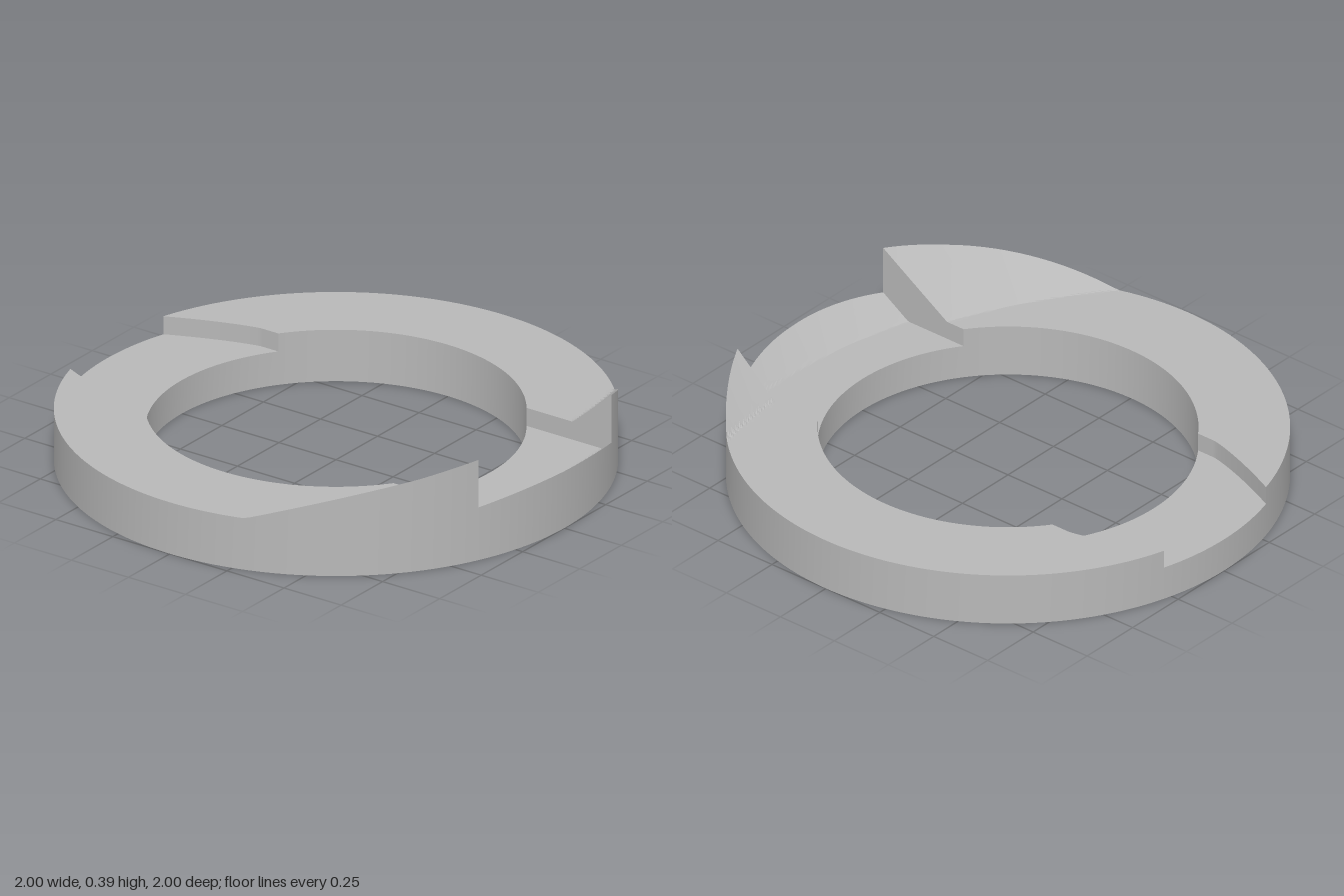
import * as THREE from 'three';
import { toCreasedNormals } from 'three/addons/utils/BufferGeometryUtils.js';

const R_IN = 0.675, R_OUT = 1, TOP = 0.2, FLOOR = 0.13, STEP = 0.185;

// Shallow conical ramp that rises towards +x
function ramp(x, z) {
  const d = Math.hypot(x + 1.216, z + 0.3) - 1.965;
  const slope = z < 0 ? 0.76 - 0.3 * z : Math.max(0.64, 0.76 - 0.2 * z);
  return TOP + slope * d;
}
const topHeight = (x, z) => Math.max(TOP, ramp(x, z));
const floorHeight = (x, z) => Math.max(FLOOR, ramp(x, z) - STEP);

// Half angles of the two notches at radius r
const wideNotch = (r) => Math.asin(0.4 / r);
function taperedNotch(r) {
  const t = Math.max(0, (r - 0.738) / (R_OUT - 0.738));
  return Math.asin((0.4 - 0.12 * Math.pow(t, 1.2)) / r);
}

// Surface patch from fn(u, v); it faces along du x dv
function patch(fn, nu, nv) {
  const pos = [], index = [];
  for (let i = 0; i <= nu; i++)
    for (let j = 0; j <= nv; j++) pos.push(...fn(i / nu, j / nv));
  for (let i = 0; i < nu; i++)
    for (let j = 0; j < nv; j++) {
      const a = i * (nv + 1) + j, b = a + nv + 1;
      index.push(a, b, b + 1, a, b + 1, a + 1);
    }
  const g = new THREE.BufferGeometry();
  g.setAttribute('position', new THREE.Float32BufferAttribute(pos, 3));
  g.setIndex(index);
  return toCreasedNormals(g, 0.25);
}

export function createModel() {
  const group = new THREE.Group();
  const grey = new THREE.MeshStandardMaterial({ color: 0xb8b8b8 });
  grey.name = 'grey';
  const add = (name, geometry, parent = group) => {
    const mesh = new THREE.Mesh(geometry, grey);
    mesh.name = name;
    parent.add(mesh);
  };
  const radius = (t) => R_IN + (R_OUT - R_IN) * t;

  // One sector of the ring: upper face, outer wall and inner wall
  function sector(name, from, to, height, n) {
    const part = new THREE.Group();
    part.name = name;
    group.add(part);
    const at = (u, r) => {
      const a = from(r) + (to(r) - from(r)) * u;
      const x = r * Math.cos(a), z = r * Math.sin(a);
      return [x, height(x, z), z];
    };
    add('upperFace', patch((u, v) => at(u, radius(v)), n, 48), part);
    add('outerWall', patch((u, v) => {
      const [x, y, z] = at(u, R_OUT);
      return [x, y * (1 - v), z];
    }, n, 1), part);
    add('innerWall', patch((u, v) => {
      const [x, y, z] = at(u, R_IN);
      return [x, y * v, z];
    }, n, 1), part);
  }

  // Upright step between a notch floor and the raised ring
  function stepWall(name, angle, facesForward) {
    add(name, patch((u, v) => {
      const r = radius(u), a = angle(r);
      const x = r * Math.cos(a), z = r * Math.sin(a);
      const lo = floorHeight(x, z), hi = topHeight(x, z);
      return [x, lo + (hi - lo) * (facesForward ? v : 1 - v), z];
    }, 48, 1));
  }

  const leftBack = (r) => -wideNotch(r);
  const leftFront = (r) => wideNotch(r);
  const rightFront = (r) => Math.PI - taperedNotch(r);
  const rightBack = (r) => Math.PI + taperedNotch(r);
  const leftBackWrapped = (r) => 2 * Math.PI - wideNotch(r);

  sector('leftNotch', leftBack, leftFront, floorHeight, 32);
  sector('frontRing', leftFront, rightFront, topHeight, 96);
  sector('rightNotch', rightFront, rightBack, floorHeight, 24);
  sector('backRing', rightBack, leftBackWrapped, topHeight, 96);

  stepWall('leftNotchBackStep', leftBack, true);
  stepWall('leftNotchFrontStep', leftFront, false);
  stepWall('rightNotchFrontStep', rightFront, true);
  stepWall('rightNotchBackStep', rightBack, false);

  // Flat underside
  add('underside', new THREE.RingGeometry(R_IN, R_OUT, 160).rotateX(Math.PI / 2));
  return group;
}
